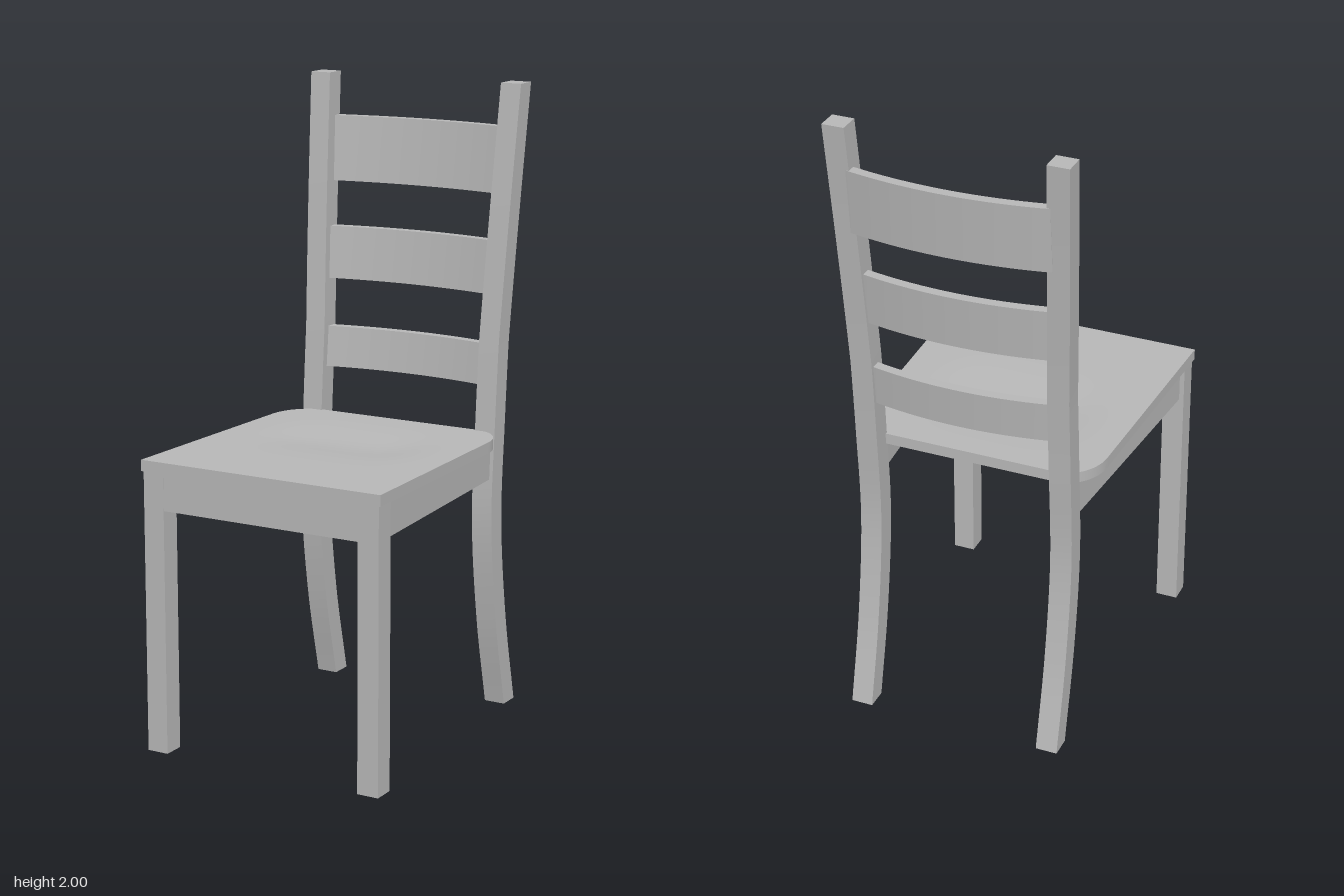
import * as THREE from 'three';

const grey = new THREE.MeshStandardMaterial({ color: 0xb6b6b6 });
grey.name = 'plain grey';

// Box whose vertices are moved by a rule
function bentBox(size, segments, rule) {
  const geo = new THREE.BoxGeometry(...size, ...segments);
  const pos = geo.attributes.position;
  const v = new THREE.Vector3();
  for (let i = 0; i < pos.count; i++) {
    rule(v.fromBufferAttribute(pos, i));
    pos.setXYZ(i, v.x, v.y, v.z);
  }
  geo.computeVertexNormals();
  return geo;
}

export function createModel() {
  const chair = new THREE.Group();
  chair.name = 'ladderBackChair';
  const add = (name, geo, x = 0, y = 0, z = 0) => {
    const mesh = new THREE.Mesh(geo, grey);
    mesh.name = name;
    mesh.position.set(x, y, z);
    chair.add(mesh);
  };

  // Seat: tapered plan, rounded rear corners, shallow dish on top
  const rear = -0.335, depth = 0.848, cornerX = 0.11, cornerZ = 0.13;
  const halfWidth = (z) => {
    const straight = 0.385 + 0.027 * (z - rear) / depth;
    const k = Math.max(0, 1 - (z - rear) / cornerZ);
    return straight - cornerX * (1 - Math.sqrt(1 - k * k));
  };
  add('seat', bentBox([2, 0.035, 1], [40, 1, 48], (v) => {
    const z = rear + depth * (v.z + 0.5) ** 2;
    const x = v.x * halfWidth(z);
    const dish = 0.016 * Math.exp(-((x / 0.23) ** 4) - ((z / 0.14) ** 2));
    v.set(x, v.y > 0 ? 0.92 - dish : 0.885, z);
  }));

  // Rear posts: swept-back feet, raked and splayed backs
  const line = new THREE.CatmullRomCurve3([
    [0, -0.453], [0.3, -0.386], [0.63, -0.347], [0.95, -0.363],
    [1.3, -0.39], [1.65, -0.423], [2, -0.46],
  ].map(([y, z]) => new THREE.Vector3(0, y, z)));
  for (const [side, s] of [['left', 1], ['right', -1]]) {
    add(side + 'RearPost', bentBox([0.069, 1, 0.069], [1, 48, 1], (v) => {
      const p = line.getPoint(THREE.MathUtils.clamp(v.y + 0.5, 0, 1));
      v.x += s * (0.314 + 0.025 * Math.max(0, (p.y - 1.2) / 0.8));
      v.y = p.y;
      v.z += p.z;
    }));

    // Front legs
    add(side + 'FrontLeg', new THREE.BoxGeometry(0.07, 0.886, 0.07), s * 0.37, 0.443, 0.475);

    // Side aprons, converging toward the back
    add(side + 'Apron', bentBox([0.036, 0.116, 0.79], [1, 1, 1], (v) => {
      v.x += s * (0.345 + 0.055 * v.z / 0.79);
      v.y += 0.828;
      v.z += 0.055;
    }));
  }

  // Front apron, nearly flush with the legs
  add('frontApron', new THREE.BoxGeometry(0.69, 0.116, 0.036), 0, 0.828, 0.491);

  // Curved back slats: bottom, top, half length, depth at mid-height, rake
  const slats = [
    ['lowerSlat', 1.06, 1.19, 0.298, -0.412, 0.1],
    ['middleSlat', 1.345, 1.512, 0.302, -0.44, 0.1],
    ['upperSlat', 1.655, 1.862, 0.311, -0.488, 0.1],
  ];
  for (const [name, bottom, top, half, z, rake] of slats) {
    add(name, bentBox([2 * half, top - bottom, 0.032], [28, 1, 1], (v) => {
      v.z += 0.034 * (v.x / half) ** 2 - rake * v.y;
    }), 0, (bottom + top) / 2, z);
  }

  return chair;
}
